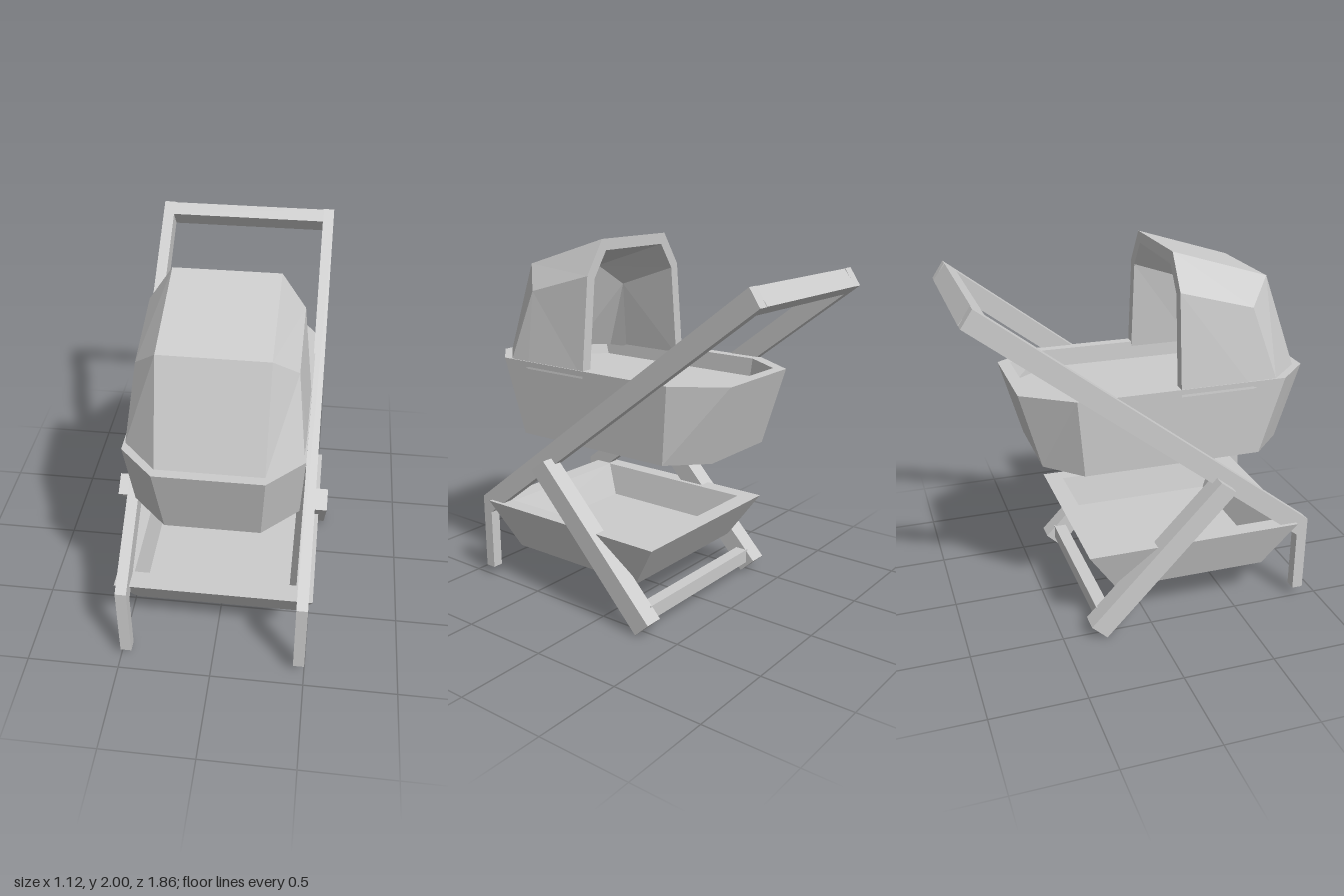
import * as THREE from 'three';

const material = new THREE.MeshStandardMaterial({ color: 0xcccccc, flatShading: true, side: THREE.DoubleSide });

function addMesh(parent, name, geometry) {
  const mesh = new THREE.Mesh(geometry, material);
  mesh.name = name;
  parent.add(mesh);
  return mesh;
}

// Flat-faced skin through successive rings of [x, y, z]; closed rings get end caps
function loft(rings, closed = true) {
  const pos = [];
  const tri = (...points) => points.forEach(p => pos.push(...p));
  const n = rings[0].length;
  for (let r = 0; r < rings.length - 1; r++) {
    for (let i = 0; i < (closed ? n : n - 1); i++) {
      const j = (i + 1) % n;
      const a = rings[r][i], b = rings[r][j], c = rings[r + 1][j], d = rings[r + 1][i];
      tri(a, b, c);
      tri(a, c, d);
    }
  }
  if (closed) {
    const first = rings[0], last = rings[rings.length - 1];
    for (let i = 1; i < n - 1; i++) {
      tri(first[0], first[i + 1], first[i]);
      tri(last[0], last[i], last[i + 1]);
    }
  }
  const g = new THREE.BufferGeometry();
  g.setAttribute('position', new THREE.Float32BufferAttribute(pos, 3));
  g.computeVertexNormals();
  return g;
}

// Horizontal octagon: half width, end half width, front/back ends and side corners
const octagon = (y, w, e, front, sideFront, sideBack, back) => [
  [w, y, sideFront], [w, y, sideBack], [e, y, back], [-e, y, back],
  [-w, y, sideBack], [-w, y, sideFront], [-e, y, front], [e, y, front],
];

const rectangle = (y, w, front, back) => [[w, y, front], [w, y, back], [-w, y, back], [-w, y, front]];

// Mirrored arch from its left half, running from -x to +x
const arch = half => [...half.map(([x, y, z]) => [-x, y, z]), ...half.slice().reverse()];

// Bar from a side outline of [z, y], between x0 and x1
function sideBar(outline, x0, x1) {
  const shape = new THREE.Shape(outline.map(([z, y]) => new THREE.Vector2(-z, y)));
  const g = new THREE.ExtrudeGeometry(shape, { depth: x1 - x0, bevelEnabled: false });
  g.rotateY(Math.PI / 2);
  g.translate(x0, 0, 0);
  return g;
}

export function createModel() {
  const model = new THREE.Group();
  model.name = 'babyCarriage';

  // Bassinet with thick rim and shallow bed
  addMesh(model, 'bassinet', loft([
    octagon(0.91, 0.42, 0.24, 0.81, 0.63, -0.34, -0.52),
    octagon(1.33, 0.44, 0.265, 0.93, 0.75, -0.38, -0.64),
    octagon(1.33, 0.38, 0.24, 0.86, 0.72, -0.36, -0.575),
    octagon(1.23, 0.375, 0.235, 0.83, 0.69, -0.35, -0.54),
  ]));

  // Hood: outer shell from front to back, then inner shell back to front
  addMesh(model, 'hood', loft([
    arch([[0.43, 1.33, 0.7], [0.43, 1.33, 0.7], [0.26, 1.33, 0.88]]),
    arch([[0.44, 1.29, 0.57], [0.385, 1.71, 0.57], [0.265, 1.84, 0.69]]),
    arch([[0.44, 1.29, 0.17], [0.385, 1.82, 0.17], [0.265, 2.0, 0.17]]),
    arch([[0.38, 1.29, 0.17], [0.33, 1.8, 0.17], [0.235, 1.94, 0.17]]),
    arch([[0.38, 1.29, 0.55], [0.33, 1.68, 0.53], [0.235, 1.79, 0.64]]),
    arch([[0.37, 1.29, 0.67], [0.37, 1.29, 0.67], [0.235, 1.29, 0.83]]),
  ], false));

  // Lower basket
  addMesh(model, 'basket', loft([
    rectangle(0.22, 0.44, 0.68, -0.18),
    rectangle(0.48, 0.52, 0.85, -0.35),
    rectangle(0.48, 0.43, 0.74, -0.25),
    rectangle(0.3, 0.39, 0.66, -0.17),
  ]));

  for (const side of [1, -1]) {
    const prefix = side > 0 ? 'left' : 'right';

    // Front leg bending into the push bar, leaning slightly inwards
    const bar = sideBar([[0.92, 0.05], [0.92, 0.49], [-0.87, 1.86], [-0.93, 1.77], [0.86, 0.4], [0.86, 0.05]], -0.03, 0.03);
    const p = bar.attributes.position;
    for (let i = 0; i < p.count; i++) p.setX(i, p.getX(i) + side * (0.457 + 0.007 * (p.getZ(i) + 0.93)));
    bar.computeVertexNormals();
    addMesh(model, prefix + 'FrameBar', bar);

    // Crossing rear leg
    const x = side * 0.508;
    addMesh(model, prefix + 'RearLeg',
      sideBar([[0.45, 0.76], [0.36, 0.83], [-0.355, 0.08], [-0.27, 0]], x - 0.052, x + 0.052));
  }

  // Handle crossbar, in line with the push bars
  const handle = addMesh(model, 'handle', new THREE.BoxGeometry(0.86, 0.108, 0.075));
  handle.position.set(0, 1.792, -0.87);
  handle.rotation.x = Math.atan2(1.37, 1.79);

  // Crossbar between the rear legs
  addMesh(model, 'rearCrossbar', new THREE.BoxGeometry(0.94, 0.08, 0.07)).position.set(0, 0.1, -0.27);

  return model;
}
